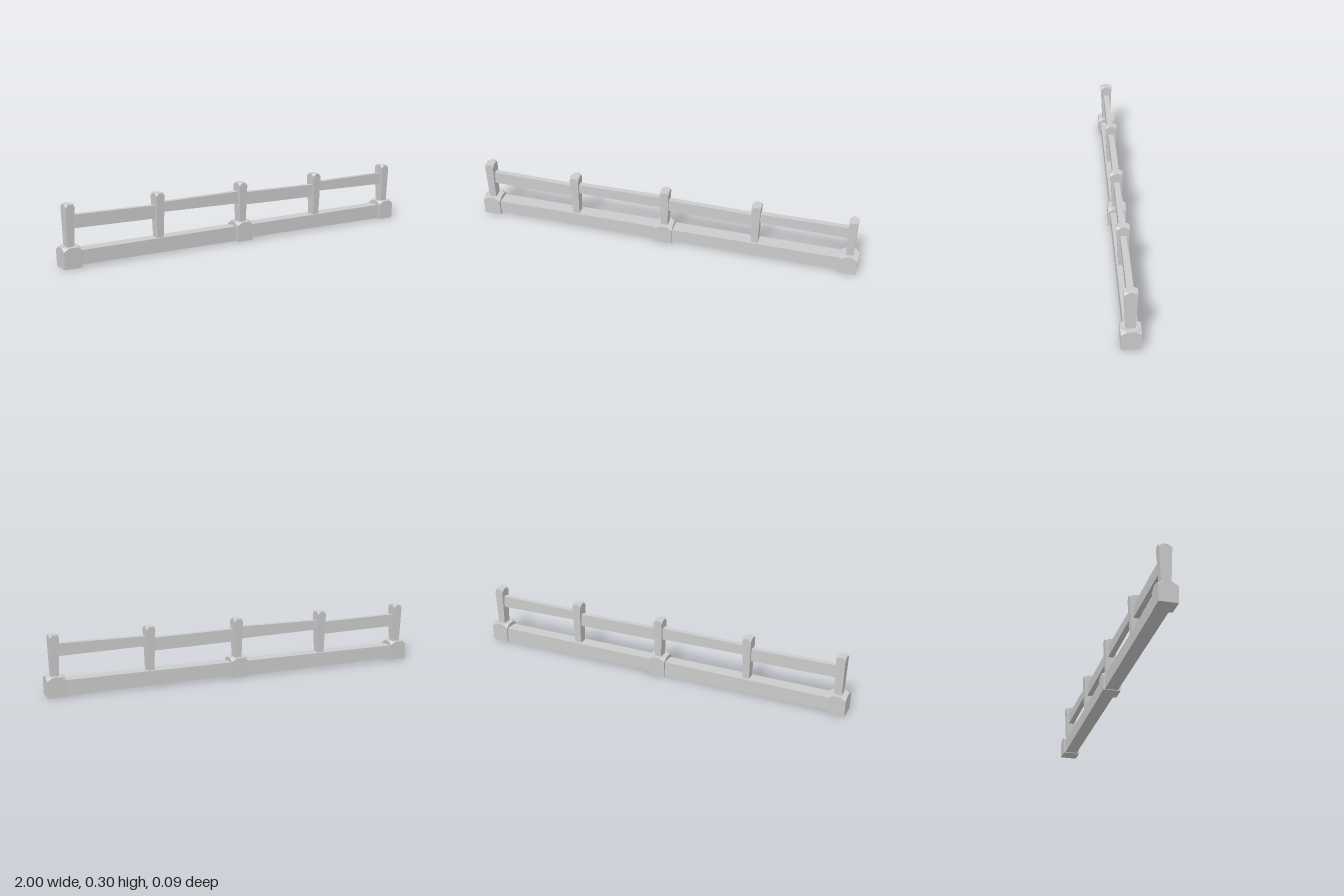
import * as THREE from 'three';
import { ConvexGeometry } from 'three/addons/geometries/ConvexGeometry.js';

const material = new THREE.MeshStandardMaterial({ color: 0xcccccc, flatShading: true });

// Upright block that flares towards the top and has its four top corners cut off
function cutBlock(y0, y1, bottom, top, cut) {
  const pts = [];
  const t = 1 - cut[1] / (y1 - y0);
  const mid = bottom.map((b, i) => b + (top[i] - b) * t);
  for (const sx of [-1, 1]) for (const sz of [-1, 1]) {
    const add = (x, y, z) => pts.push(new THREE.Vector3(sx * x, y, sz * z));
    add(bottom[0], y0, bottom[1]);
    add(mid[0], y1 - cut[1], mid[1]);
    add(top[0] - cut[0], y1, top[1]);
    add(top[0], y1, top[1] - cut[2]);
  }
  return new ConvexGeometry(pts);
}

// Beam between two end sections, each { x, y0, y1, z0, z1 }
function beam(...ends) {
  const pts = [];
  for (const e of ends)
    for (const y of [e.y0, e.y1]) for (const z of [e.z0, e.z1]) pts.push(new THREE.Vector3(e.x, y, z));
  return new ConvexGeometry(pts);
}

export function createModel() {
  const group = new THREE.Group();
  const add = (name, geometry, x = 0) => {
    const mesh = new THREE.Mesh(geometry, material);
    mesh.name = name;
    mesh.position.x = x;
    group.add(mesh);
  };

  // Footing blocks at both ends and the middle
  const block = cutBlock(0, 0.1, [0.044, 0.045], [0.046, 0.047], [0.028, 0.017, 0.031]);
  [-0.954, 0, 0.954].forEach((x) => add('footingBlock', block, x));

  // Posts, narrower at the foot
  const post = cutBlock(0.07, 0.3, [0.017, 0.022], [0.023, 0.031], [0.013, 0.014, 0.022]);
  [-0.954, -0.482, 0, 0.473, 0.954].forEach((x) => add('post', post, x));

  // Ground beams, their undersides slightly uneven
  for (const x of [-0.95, 0])
    add('groundBeam', beam(
      { x, y0: 0.012, y1: 0.08, z0: -0.037, z1: 0.034 },
      { x: x + 0.95, y0: 0.003, y1: 0.08, z0: -0.037, z1: 0.03 }));

  // Handrails, alternating in height and slope
  const rails = [
    [-0.954, -0.482, 0.184, 0.248, 0.176, 0.241],
    [-0.482, 0, 0.204, 0.253, 0.195, 0.257],
    [0, 0.473, 0.184, 0.248, 0.176, 0.241],
    [0.473, 0.954, 0.204, 0.253, 0.195, 0.257],
  ];
  for (const [xa, xb, a0, a1, b0, b1] of rails)
    add('handrail', beam(
      { x: xa, y0: a0, y1: a1, z0: -0.014, z1: 0.014 },
      { x: xb, y0: b0, y1: b1, z0: -0.014, z1: 0.014 }));

  return group;
}
